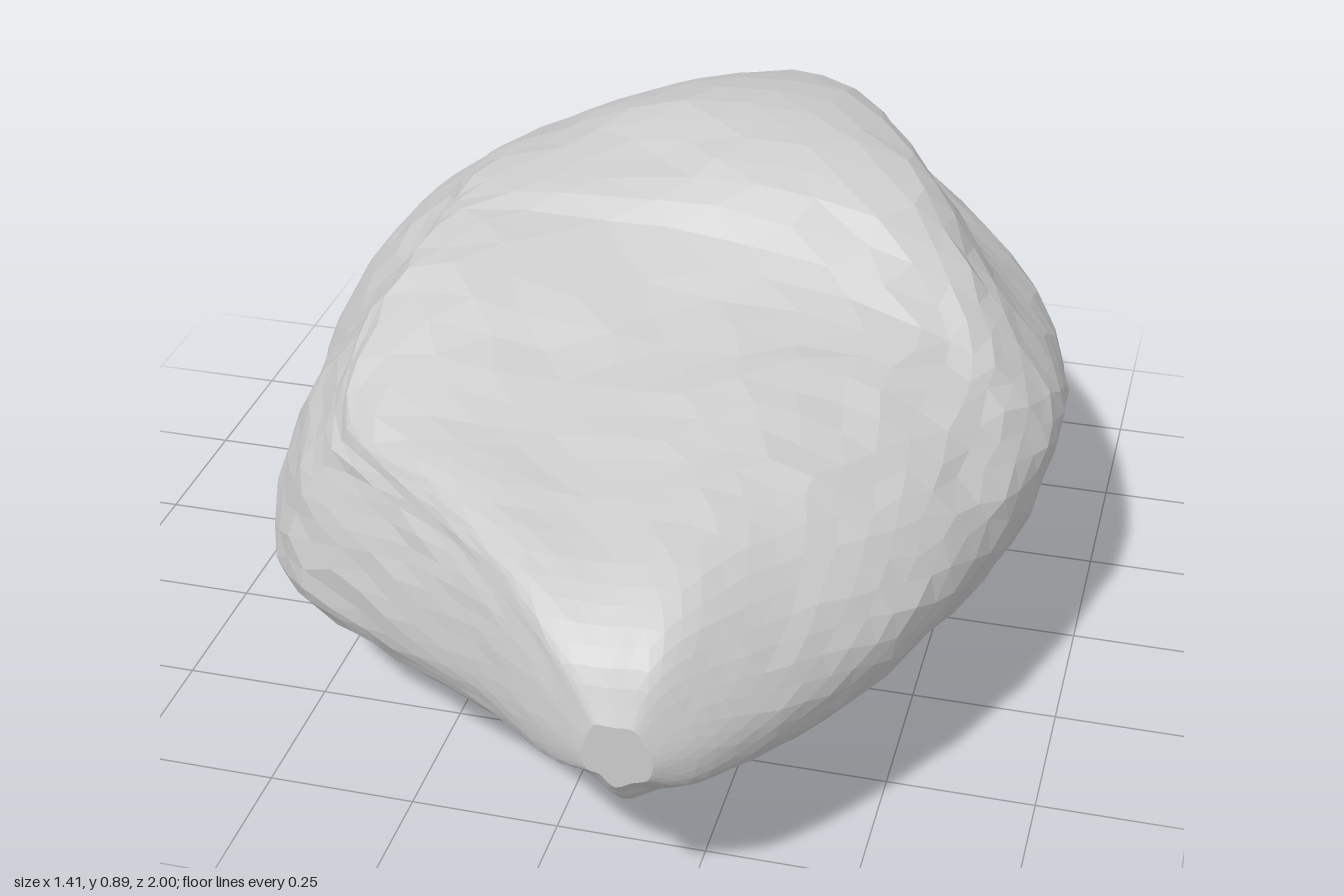
import * as THREE from 'three';

// Cross-sections from front to back:
// z, left x y, right x y, keel x y, left shoulder x y, crest x y
const SECTIONS = [
  [1, .12, .36, .23, .36, .17, .31, .14, .42, .2, .42],
  [.95, .03, .36, .3, .37, .17, .25, .07, .5, .22, .51],
  [.85, -.1, .35, .39, .38, .14, .22, -.03, .56, .24, .57],
  [.7, -.32, .31, .49, .4, .1, .17, -.19, .59, .25, .61],
  [.55, -.53, .27, .57, .42, .06, .13, -.38, .61, .28, .64],
  [.35, -.62, .26, .64, .45, .04, .06, -.4, .7, .34, .66],
  [.15, -.67, .27, .69, .48, .02, .03, -.37, .765, .47, .68],
  [0, -.69, .28, .7, .48, 0, .005, -.36, .78, .44, .8],
  [-.2, -.71, .31, .67, .47, -.01, .01, -.37, .75, .36, .85],
  [-.5, -.65, .36, .57, .45, -.01, .04, -.37, .67, .22, .81],
  [-.75, -.51, .38, .42, .42, -.02, .14, -.3, .6, .08, .7],
  [-.92, -.36, .38, .22, .4, -.06, .25, -.24, .48, .02, .53],
  [-1, -.18, .37, .02, .4, -.08, .35, -.12, .41, -.04, .42],
];
const AROUND = 46;
const ALONG = 42;

function seeded(seed) {
  return () => {
    seed = (seed * 16807) % 2147483647;
    return seed / 2147483647 - 0.5;
  };
}

const bell = (z, centre, width) => Math.exp(-(((z - centre) / width) ** 2));

// Control points round one section, clockwise from the left extreme
function sectionPoints([z, lx, ly, rx, ry, bx, by, sx, sy, cx, cy]) {
  const p = (x, y) => new THREE.Vector3(x, y, z);
  const between = (ax, ay, bx2, by2, u, v) => p(ax + u * (bx2 - ax), ay + v * (by2 - ay));
  const size = Math.min(1, (rx - lx) / 1.2);
  // Hollow in the right flank beneath the crest, bulge elsewhere
  const out = size * (0.05 - 0.09 * bell(z, -0.4, 0.25) - 0.02 * bell(z, 0, 0.2));
  // Left flank is steep under the middle of the shoulder, rounder elsewhere
  const round = 1 - bell(z, 0.02, 0.22);
  // Rounded hump on the back half
  const lift = 0.085 * bell(z, -0.25, 0.4);
  return [
    p(lx, ly),
    between(lx, ly, sx, sy, 0.3 - 0.08 * round, 0.42 + 0.06 * round),
    between(lx, ly, sx, sy, 0.75 - 0.08 * round, 0.74 + 0.08 * round),
    p(sx, sy),
    p((sx + cx) / 2, (sy + cy) / 2 + lift),
    p(cx, cy),
    p((cx + rx) / 2 + out, (cy + ry) / 2 + out * 0.6),
    p(rx, ry),
    between(bx, by, rx, ry, 0.86, 0.45),
    between(bx, by, rx, ry, 0.45, 0.25),
    p(bx, by),
    between(bx, by, lx, ly, 0.45, 0.4),
    between(bx, by, lx, ly, 0.85, 0.52),
  ];
}

function rockGeometry() {
  const rows = SECTIONS.map(sectionPoints);
  const rails = rows[0].map((_, k) => new THREE.CatmullRomCurve3(rows.map((r) => r[k])));
  const rand = seeded(7);
  const pos = [];
  const index = [];

  for (let i = 0; i <= ALONG; i++) {
    const ring = new THREE.CatmullRomCurve3(rails.map((c) => c.getPoint(i / ALONG)), true);
    // Roughness fades towards both ends, where the rings are close together
    const rough = Math.min(1, Math.min(i, ALONG - i) / 16) ** 2;
    for (let j = 0; j < AROUND; j++) {
      // Alternate rings are staggered for irregular facets
      const t = (j + (i % 2) * 0.5 + rand() * 0.35 * rough) / AROUND;
      const v = ring.getPoint((t + 1) % 1);
      const wave = 0.008 * Math.sin(9 * v.x + 5 * v.z) * Math.sin(8 * v.z - 6 * v.y);
      pos.push(
        v.x + rand() * 0.008 * rough,
        Math.max(0, v.y + (wave + rand() * 0.01) * rough),
        v.z + rand() * 0.02 * rough,
      );
    }
  }
  for (let i = 0; i < ALONG; i++) {
    for (let j = 0; j < AROUND; j++) {
      const k = (j + 1) % AROUND;
      const a = i * AROUND + j, b = i * AROUND + k;
      const d = a + AROUND, e = b + AROUND;
      if (i % 2) index.push(a, b, e, a, e, d);
      else index.push(a, b, d, b, e, d);
    }
  }

  // Close the front and back ends
  const front = pos.length / 3;
  pos.push(0.17, 0.36, 1, -0.08, 0.385, -1);
  const last = ALONG * AROUND;
  for (let j = 0; j < AROUND; j++) {
    const k = (j + 1) % AROUND;
    index.push(front, k, j, front + 1, last + j, last + k);
  }

  const geometry = new THREE.BufferGeometry();
  geometry.setAttribute('position', new THREE.Float32BufferAttribute(pos, 3));
  geometry.setIndex(index);
  geometry.computeVertexNormals();
  return geometry;
}

export function createModel() {
  const group = new THREE.Group();
  group.name = 'boulder';
  const material = new THREE.MeshStandardMaterial({ color: 0xcccccc, flatShading: true });
  const rock = new THREE.Mesh(rockGeometry(), material);
  rock.name = 'rock';
  group.add(rock);
  return group;
}
